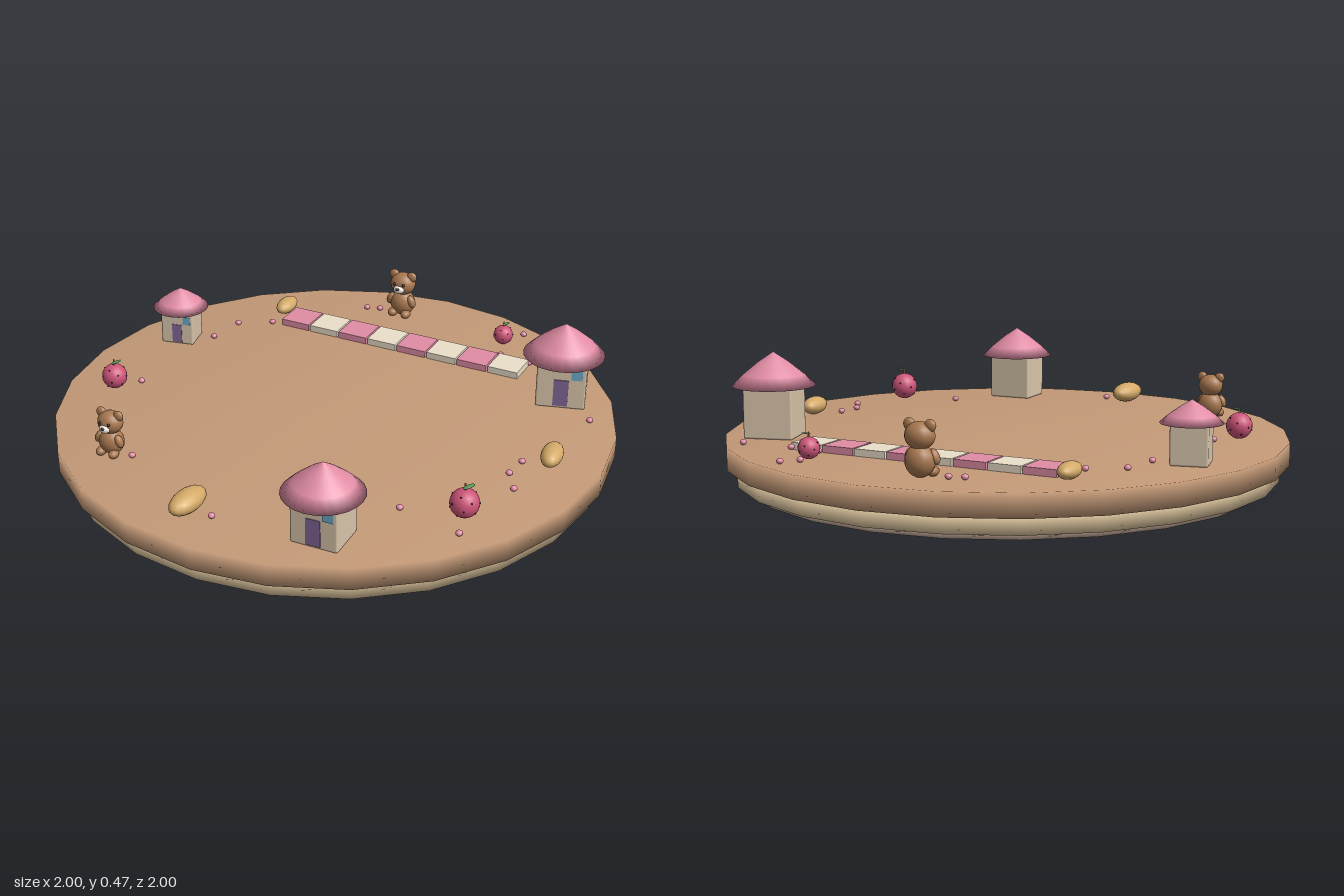
import * as THREE from 'three';
import { mergeVertices } from 'three/addons/utils/BufferGeometryUtils.js';
import { RoundedBoxGeometry } from 'three/addons/geometries/RoundedBoxGeometry.js';

const TOP = 0.165; // height of the board surface
const mat = (color, side = THREE.FrontSide) => new THREE.MeshStandardMaterial({ color, side });
const PINK = mat(0xe08ca4), CREAM = mat(0xeadfca), FUR = mat(0xa87850), DARK = mat(0x2a2020);
const BERRY = mat(0xcc5478), NUT = mat(0xd4aa68), WALL = mat(0xd8c4aa), DOOR = mat(0x7f6494);
const GLASS = mat(0x6aa8c8), LEAF = mat(0x5c9a5c, THREE.DoubleSide), WHITE = mat(0xf2ece4);

function add(parent, name, geo, material, x = 0, y = 0, z = 0) {
  const m = new THREE.Mesh(geo, material);
  m.name = name;
  m.position.set(x, y, z);
  parent.add(m);
  return m;
}

function ball(parent, name, material, x, y, z, rx, ry = rx, rz = rx) {
  const m = add(parent, name, new THREE.SphereGeometry(1, 16, 12), material, x, y, z);
  m.scale.set(rx, ry, rz);
  return m;
}

// 24-sided disc with normals blended over its rim
function disc(r, h) {
  const g = new THREE.CylinderGeometry(r, r, h, 24);
  g.deleteAttribute('normal');
  g.deleteAttribute('uv');
  const w = mergeVertices(g, 1e-4);
  w.computeVertexNormals();
  return w;
}

// House sized by its roof radius, standing on y = 0
function house(R, bodyH, roofH) {
  const g = new THREE.Group();
  g.name = 'house';
  const w = 1.21 * R, d = 1.06 * R, f = d / 2;
  add(g, 'walls', new RoundedBoxGeometry(w, bodyH + 0.01, d, 2, 0.007), WALL, 0, bodyH / 2 + 0.005, 0);
  const profile = [[0, 0], [R, 0], [R * 0.72, roofH * 0.34], [R * 0.36, roofH * 0.7], [0, roofH]]
    .map(([x, y]) => new THREE.Vector2(x, y));
  add(g, 'roof', new THREE.LatheGeometry(profile, 24), PINK, 0, bodyH, 0);
  add(g, 'door', new THREE.BoxGeometry(0.36 * R, 0.7 * R, 0.05 * R), DOOR, 0, 0.42 * R, f);
  add(g, 'window', new THREE.BoxGeometry(0.27 * R, 0.3 * R, 0.05 * R), GLASS, 0.37 * R, 0.95 * R, f);
  return g;
}

// Sitting bear, unit height 1
function bear() {
  const g = new THREE.Group();
  g.name = 'bear';
  ball(g, 'body', FUR, 0, 0.28, 0, 0.27, 0.28, 0.24);
  ball(g, 'head', FUR, 0, 0.71, 0, 0.27, 0.24, 0.24);
  ball(g, 'muzzle', WHITE, 0, 0.65, 0.21, 0.12, 0.09, 0.09);
  ball(g, 'nose', DARK, 0, 0.68, 0.29, 0.04, 0.03, 0.03);
  for (const s of [-1, 1]) {
    ball(g, 'ear', FUR, s * 0.2, 0.89, 0, 0.11, 0.11, 0.07);
    ball(g, 'eye', DARK, s * 0.1, 0.76, 0.21, 0.032);
    ball(g, 'arm', FUR, s * 0.24, 0.36, 0.08, 0.08, 0.14, 0.09).rotation.z = s * 0.4;
    ball(g, 'foot', FUR, s * 0.15, 0.09, 0.17, 0.1, 0.09, 0.13);
  }
  return g;
}

// Berry of radius 1 with stem, leaf and seeds
function berry() {
  const g = new THREE.Group();
  g.name = 'berry';
  ball(g, 'fruit', BERRY, 0, 1.1, 0, 1);
  for (let i = 0; i < 14; i++) {
    const y = 0.75 - 1.4 * (i / 13), a = i * 2.4, r = Math.sqrt(1 - y * y);
    ball(g, 'seed', DARK, r * Math.sin(a), 1.1 + y, r * Math.cos(a), 0.06);
  }
  add(g, 'stem', new THREE.CylinderGeometry(0.06, 0.09, 0.6, 8), FUR, 0, 2.25, 0);
  const leaf = ball(g, 'leaf', LEAF, 0.25, 2.38, 0, 0.42, 0.07, 0.2);
  leaf.rotation.set(0, 0.9, 0.2);
  return g;
}

// Nut: long ellipsoid lying along z
function nut(w, h, l) {
  const g = new THREE.Group();
  g.name = 'nut';
  ball(g, 'kernel', NUT, 0, h, 0, w, h, l);
  return g;
}

export function createModel() {
  const root = new THREE.Group();
  root.name = 'village';

  // Stepped round board
  add(root, 'boardTop', disc(1, 0.08), mat(0xc49a78), 0, 0.125, 0);
  add(root, 'boardMiddle', disc(0.965, 0.06), mat(0xe0c8a0), 0, 0.055, 0);
  add(root, 'boardFoot', disc(0.92, 0.025), mat(0xb8a090), 0, 0.0125, 0);

  // Eleven places on a ring: [index, object, turn, scale]
  const places = [
    [0, nut(0.038, 0.033, 0.071), 0.15, 1],
    [1, berry(), 0, 0.05],
    [2, house(0.137, 0.165, 0.11), 0.03, 1],
    [3, nut(0.045, 0.037, 0.085), -0.08, 1],
    [4, bear(), 0, 0.17],
    [5, berry(), 0, 0.046],
    [6, house(0.105, 0.135, 0.077), 0.22, 1],
    [7, nut(0.035, 0.028, 0.064), 0.05, 1],
    [8, bear(), 0, 0.187],
    [9, berry(), 0, 0.037],
    [10, house(0.147, 0.18, 0.12), 0.28, 1],
  ];
  for (const [i, o, turn, s] of places) {
    const a = (i / 11) * Math.PI * 2;
    o.position.set(0.823 * Math.cos(a), TOP, 0.823 * Math.sin(a));
    o.rotation.y = turn;
    o.scale.setScalar(s);
    root.add(o);
  }

  // Path of alternating tiles
  for (let i = 0; i < 8; i++)
    add(root, 'pathTile', new THREE.BoxGeometry(0.118, 0.025, 0.12), i % 2 ? CREAM : PINK,
      -0.4375 + i * 0.125, TOP + 0.0125, -0.565);

  // Scattered pebbles
  const pebbles = [
    [-0.26, -0.785], [-0.21, -0.8], [0.39, -0.845], [0.345, -0.795], [0.375, -0.645],
    [0.495, -0.63], [0.69, -0.635], [0.845, -0.32], [0.735, 0.05], [0.725, 0.14],
    [0.775, 0.225], [0.72, 0.55], [0.49, 0.5], [-0.025, 0.82], [-0.46, 0.62],
    [-0.725, 0.155], [-0.675, -0.28], [-0.65, -0.425], [-0.535, -0.495],
  ];
  for (const [x, z] of pebbles) ball(root, 'pebble', PINK, x, TOP + 0.01, z, 0.012, 0.01, 0.012);

  return root;
}
